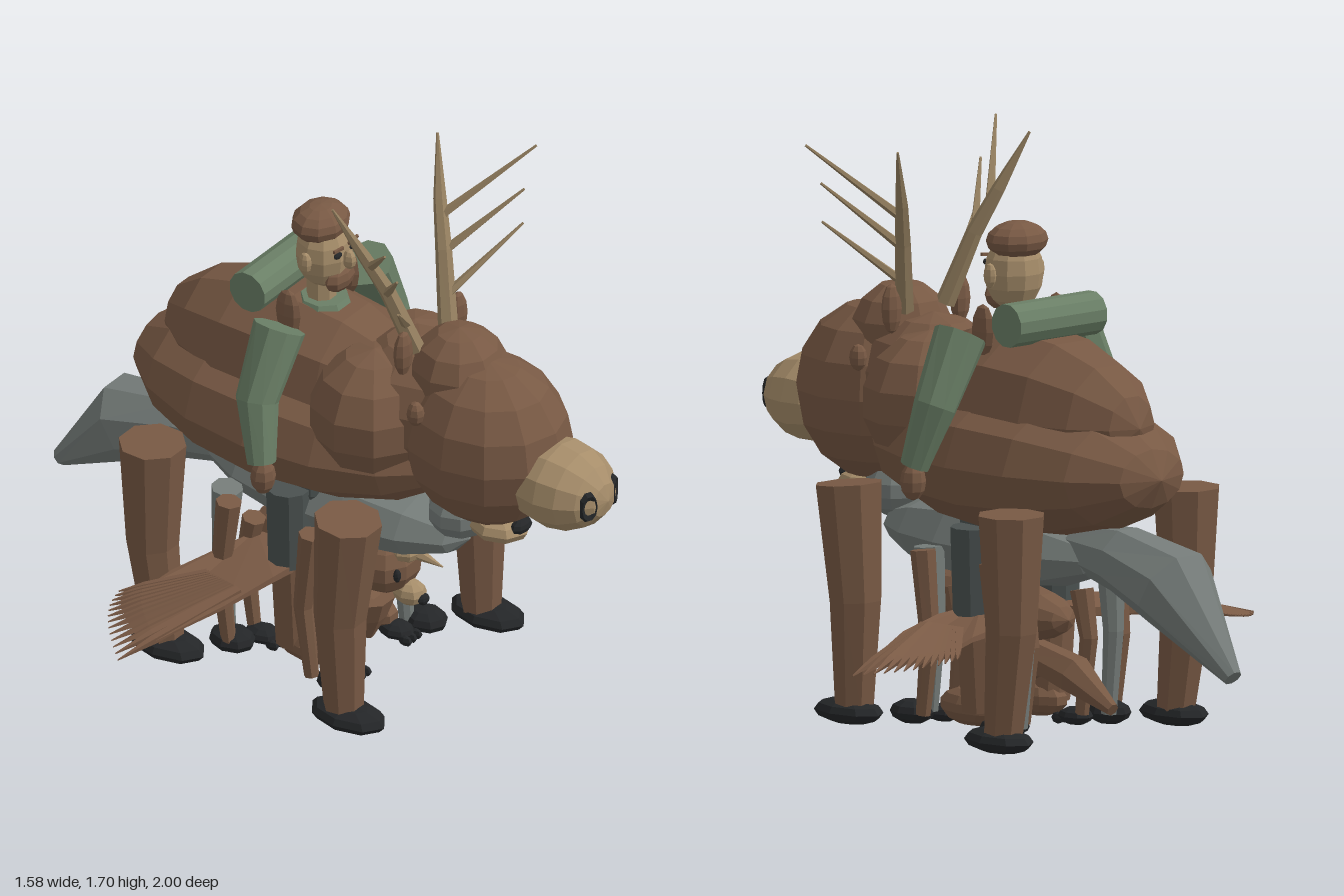
import * as THREE from 'three';

const mat = (name, color, extra = {}) => {
  const m = new THREE.MeshStandardMaterial({ color, flatShading: true, ...extra });
  m.name = name;
  return m;
};

export function createModel() {
  const root = new THREE.Group();
  const brown = mat('brown fur', 0x785944);
  const wingBrown = mat('brown feathers', 0x7a5a45, { side: THREE.DoubleSide });
  const tan = mat('tan muzzle', 0xa68d6a);
  const antlerTan = mat('antler', 0x958060);
  const black = mat('black', 0x242628);
  const grey = mat('grey fur', 0x757c79);
  const darkGrey = mat('dark grey cloth', 0x4a5150);
  const green = mat('green cloth', 0x6a7f66);

  const add = (name, geo, m) => {
    const mesh = new THREE.Mesh(geo, m);
    mesh.name = name;
    root.add(mesh);
    return mesh;
  };
  // Low-poly ellipsoid; poleZ turns its poles to the front and back
  const blob = (name, m, [x, y, z], [a, b, c], seg = 10, rows = 7, poleZ = false) => {
    const g = new THREE.SphereGeometry(1, seg, rows);
    if (poleZ) g.rotateX(Math.PI / 2);
    g.scale(a, b, c).translate(x, y, z);
    return add(name, g, m);
  };
  // Faceted limb lofted through points [x, y, z, radius]
  const limb = (name, m, pts, n = 8) => {
    const P = pts.map(p => new THREE.Vector3(p[0], p[1], p[2]));
    const pos = [], idx = [];
    P.forEach((p, i) => {
      const t = P[Math.min(i + 1, P.length - 1)].clone().sub(P[Math.max(i - 1, 0)]).normalize();
      const ref = Math.abs(t.x) > 0.9 ? new THREE.Vector3(0, 0, 1) : new THREE.Vector3(1, 0, 0);
      const u = ref.cross(t).normalize(), v = t.clone().cross(u);
      for (let j = 0; j < n; j++) {
        const a = (j + 0.5) / n * Math.PI * 2;
        const q = p.clone().addScaledVector(u, Math.cos(a) * pts[i][3]).addScaledVector(v, Math.sin(a) * pts[i][3]);
        pos.push(q.x, q.y, q.z);
      }
    });
    const last = P.length - 1, c0 = P.length * n;
    pos.push(...P[0].toArray(), ...P[last].toArray());
    for (let j = 0; j < n; j++) {
      const k = (j + 1) % n;
      for (let i = 0; i < last; i++) {
        const a = i * n + j, b = i * n + k;
        idx.push(a, b, a + n, b, b + n, a + n);
      }
      idx.push(c0, k, j, c0 + 1, last * n + j, last * n + k);
    }
    const g = new THREE.BufferGeometry();
    g.setAttribute('position', new THREE.Float32BufferAttribute(pos, 3));
    g.setIndex(idx);
    g.computeVertexNormals();
    return add(name, g, m);
  };

  // Large antlered animal: body, head and muzzle
  blob('lowerBody', brown, [0, 0.82, -0.09], [0.33, 0.23, 0.585], 12, 8, true);
  blob('upperBody', brown, [0, 0.96, -0.1], [0.235, 0.25, 0.48], 10, 8, true);
  blob('neck', brown, [0, 0.97, 0.32], [0.21, 0.22, 0.25]);
  blob('head', brown, [0, 0.93, 0.56], [0.23, 0.27, 0.27], 12, 8);
  blob('brow', brown, [0, 1.12, 0.46], [0.15, 0.15, 0.15]);
  blob('muzzle', tan, [0, 0.87, 0.83], [0.145, 0.135, 0.17], 12, 8, true);
  for (const s of [-1, 1]) {
    blob('shoulder', brown, [s * 0.1, 0.95, 0.225], [0.205, 0.21, 0.2]);
    // Ringed nostrils
    const nostril = new THREE.TorusGeometry(0.038, 0.014, 5, 10).scale(0.6, 1, 1)
      .rotateY(s * 0.45).translate(s * 0.06, 0.87, 0.97);
    add('nostril', nostril, black);
    blob('eyelid', brown, [s * 0.19, 1.06, 0.44], [0.025, 0.04, 0.028], 8, 6);
    blob('ear', brown, [s * 0.135, 1.21, 0.355], [0.035, 0.075, 0.025], 8, 6);
    // Antler beam and three forward tines
    limb('antlerBeam', antlerTan, [[s * 0.08, 1.2, 0.36, 0.03], [s * 0.14, 1.41, 0.3, 0.025],
      [s * 0.19, 1.54, 0.25, 0.02], [s * 0.26, 1.71, 0.19, 0.004]], 6);
    const tines = [[0.1, 1.285, 0.34, 0.31, 1.475], [0.14, 1.4, 0.3, 0.315, 1.59], [0.175, 1.5, 0.27, 0.375, 1.71]];
    for (const [x, y, z, tx, ty] of tines)
      limb('antlerTine', antlerTan, [[s * x, y, z, 0.015], [s * tx, ty, 0.465, 0.004]], 5);
    // Heavy legs with hooves
    for (const [top, knee, low, hoof] of [[0.31, 0.28, 0.29, 0.31], [-0.4, -0.4, -0.36, -0.345]]) {
      limb('largeLeg', brown, [[s * 0.345, 0.725, top, 0.102], [s * 0.345, 0.38, knee, 0.08], [s * 0.34, 0.06, low, 0.06]]);
      blob('hoof', black, [s * 0.345, 0.047, hoof], [0.077, 0.038, 0.13], 8, 6);
    }
  }

  // Grey animal: body, head under the large one, tail and legs
  blob('greyBody', grey, [0, 0.55, 0.03], [0.18, 0.125, 0.47], 8, 7, true);
  blob('greyHead', grey, [0, 0.65, 0.47], [0.11, 0.09, 0.1]);
  blob('greyMuzzle', tan, [0, 0.645, 0.605], [0.085, 0.045, 0.1], 8, 6);
  blob('greyNose', black, [0, 0.668, 0.685], [0.042, 0.024, 0.025], 8, 6);
  limb('greyTail', grey, [[0, 0.58, -0.32, 0.07], [0, 0.565, -0.51, 0.1], [0, 0.51, -0.73, 0.13], [0, 0.275, -0.985, 0.028]]);
  for (const s of [-1, 1]) {
    for (const z of [0.14, -0.25]) {
      limb('greyLeg', grey, [[s * 0.18, 0.54, z, 0.048], [s * 0.175, 0.3, z - 0.02, 0.032], [s * 0.175, 0.05, z, 0.024]]);
      blob('greyPaw', black, [s * 0.21, 0.047, z + 0.04], [0.06, 0.037, 0.075], 8, 6);
    }
    // Slim brown legs on either side
    for (const z of [0.12, -0.18]) {
      for (const [x, h, r] of [[0.24, 0.54, 0.03], [0.115, 0.42, 0.028]]) {
        limb('slimLeg', brown, [[s * x, h, z - 0.02, r * 1.3], [s * x, 0.28, z - 0.05, r], [s * x, 0.05, z - 0.02, r * 0.75]], 7);
      }
      blob('smallPaw', black, [s * 0.125, 0.038, z + 0.02], [0.045, 0.027, 0.06], 8, 6);
      for (const d of [-0.025, 0, 0.025])
        blob('toe', black, [s * 0.125 + d, 0.028, z + 0.07], [0.012, 0.018, 0.025], 6, 4);
    }
  }

  // Small brown animal with a light face
  blob('smallBody', brown, [0, 0.35, -0.02], [0.11, 0.09, 0.25], 10, 7, true);
  blob('smallHead', brown, [0, 0.37, 0.2], [0.115, 0.1, 0.1]);
  blob('smallForehead', tan, [0, 0.435, 0.275], [0.058, 0.04, 0.05], 8, 6);
  limb('smallBeak', tan, [[0, 0.43, 0.3, 0.022], [0, 0.415, 0.4, 0.002]], 6);
  blob('smallMuzzle', tan, [0, 0.285, 0.28], [0.045, 0.04, 0.055], 8, 6);
  blob('smallNose', black, [0, 0.277, 0.33], [0.022, 0.018, 0.015], 8, 6);

  // Winged creature: body, tail and feathered wings
  blob('wingedBody', brown, [0, 0.19, 0.02], [0.1, 0.06, 0.17], 10, 7, true);
  limb('breast', brown, [[0, 0.22, 0.13, 0.08], [0, 0.15, 0.13, 0.055], [0, 0.075, 0.13, 0.015]], 8);
  limb('wingedTail', brown, [[0, 0.23, -0.12, 0.05], [0, 0.19, -0.3, 0.06], [0, 0.11, -0.46, 0.02]], 7);
  const wingY = (x, z) => 0.36 - 0.19 * Math.max(0, Math.abs(x) - 0.36) + 0.03 * z;
  for (const s of [-1, 1]) {
    blob('smallEye', black, [s * 0.068, 0.375, 0.284], [0.012, 0.022, 0.012], 8, 6);
    blob('smallEar', brown, [s * 0.09, 0.44, 0.2], [0.03, 0.04, 0.02], 8, 6);
    // Inner wing plate, drooping toward its tip
    const edge = [[0.08, 0.02], [0.28, -0.01], [0.46, -0.055], [0.67, -0.147], [0.64, -0.21],
      [0.56, -0.28], [0.48, -0.31], [0.4, -0.29], [0.1, -0.2]];
    const wing = new THREE.ExtrudeGeometry(new THREE.Shape(edge.map(([x, z]) => new THREE.Vector2(s * x, -z))),
      { depth: 1, bevelEnabled: false }).rotateX(-Math.PI / 2);
    const p = wing.attributes.position;
    for (let i = 0; i < p.count; i++) {
      const x = p.getX(i), thick = 0.03 * (0.75 - Math.abs(x)) / 0.7;
      p.setY(i, wingY(x, p.getZ(i)) + (p.getY(i) - 0.5) * thick);
    }
    wing.computeVertexNormals();
    add('wing', wing, wingBrown);
    // Fan of slender pointed feathers
    const feathers = 13;
    for (let i = 0; i < feathers; i++) {
      const t = i / (feathers - 1);
      const rx = 0.38 - 0.02 * t, rz = -0.06 - 0.13 * t;
      const tx = 0.79 - 0.25 * t, tz = -0.2 - 0.18 * Math.sin(t * Math.PI / 2);
      const at = (k, r) => {
        const x = s * (rx + (tx - rx) * k), z = rz + (tz - rz) * k;
        return [x, wingY(x, z), z, r];
      };
      limb('feather', wingBrown, [at(0, 0.016), at(0.7, 0.014), at(1, 0.002)], 4);
    }
  }

  // Person: hips, trunk, head and bedroll
  limb('hips', darkGrey, [[0, 0.47, -0.03, 0.12], [0, 0.6, -0.03, 0.17], [0, 0.7, -0.03, 0.16]]);
  limb('trunk', green, [[0, 0.68, -0.03, 0.15], [0, 1.05, -0.03, 0.16], [0, 1.2, -0.03, 0.07]]);
  limb('personNeck', tan, [[0, 1.15, -0.04, 0.045], [0, 1.29, -0.04, 0.045]]);
  blob('personHead', tan, [0, 1.355, -0.03], [0.09, 0.115, 0.085], 10, 8);
  blob('hair', brown, [0, 1.452, -0.043], [0.098, 0.057, 0.083], 10, 8);
  blob('beard', brown, [0, 1.283, 0.025], [0.062, 0.045, 0.035], 8, 6);
  blob('personNose', tan, [0, 1.355, 0.06], [0.018, 0.032, 0.024], 7, 6);
  limb('bedroll', green, [[-0.17, 1.235, -0.185, 0.065], [0.17, 1.235, -0.185, 0.065]], 12);
  for (const s of [-1, 1]) {
    blob('personEye', black, [s * 0.036, 1.38, 0.046], [0.018, 0.01, 0.009], 8, 5);
    const brow = new THREE.BoxGeometry(0.045, 0.009, 0.008).rotateZ(s * 0.12).translate(s * 0.036, 1.4, 0.048);
    add('eyebrow', brow, brown);
    blob('personEar', tan, [s * 0.095, 1.355, -0.03], [0.016, 0.037, 0.022], 8, 6);
    blob('strap', brown, [s * 0.145, 1.2, -0.055], [0.022, 0.08, 0.045], 8, 6);
    limb('arm', green, [[s * 0.215, 1.195, -0.035, 0.08], [s * 0.32, 0.995, -0.04, 0.065], [s * 0.36, 0.815, 0.005, 0.044]], 9);
    blob('hand', brown, [s * 0.36, 0.77, 0.012], [0.039, 0.057, 0.038], 8, 6);
    limb('trouserLeg', darkGrey, [[s * 0.165, 0.62, -0.038, 0.07], [s * 0.16, 0.36, -0.038, 0.066]], 10);
    limb('boot', brown, [[s * 0.16, 0.4, -0.038, 0.06], [s * 0.14, 0.07, -0.038, 0.055]], 10);
    blob('foot', brown, [s * 0.125, 0.073, 0.015], [0.065, 0.057, 0.125], 10, 7);
  }
  return root;
}
